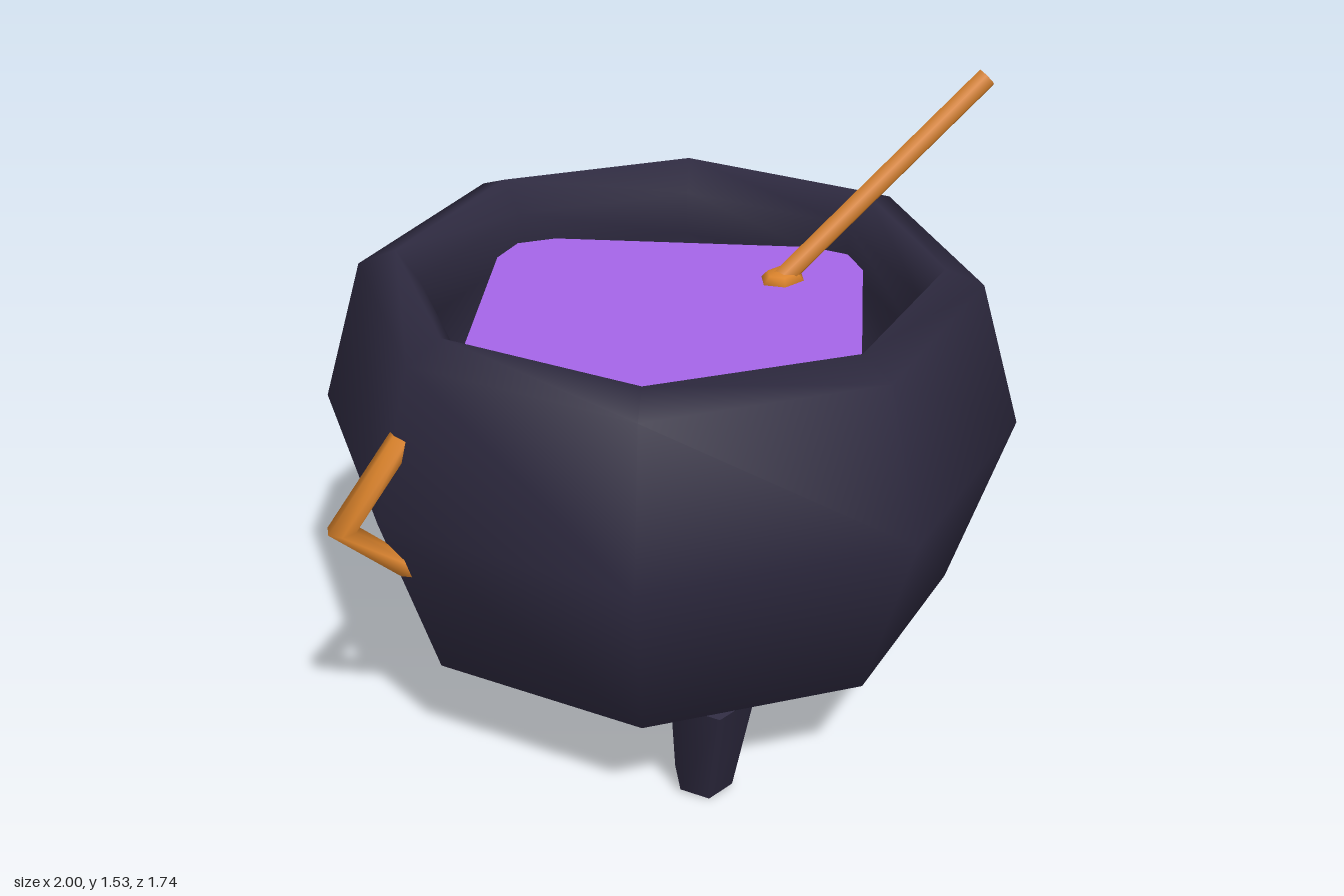
import * as THREE from 'three';

const mat = (color, extra = {}) => new THREE.MeshStandardMaterial({ color, ...extra });

export function createModel() {
  const model = new THREE.Group();
  const iron = mat(0x2e2a40);
  const ironPot = mat(0x2e2a40, { side: THREE.DoubleSide });
  const copper = mat(0xd9822b, { side: THREE.DoubleSide });
  const brew = mat(0xa565e8, { flatShading: true });

  const add = (name, geometry, material, parent = model) => {
    const mesh = new THREE.Mesh(geometry, material);
    mesh.name = name;
    parent.add(mesh);
    return mesh;
  };

  // Eight-sided pot: outer wall, rolled rim, inner wall
  const profile = [
    [0, 0.135], [0.39, 0.135], [0.72, 0.33], [0.87, 0.79], [0.765, 1.16], [0.67, 1.2],
    [0.615, 1.12], [0.62, 1.0], [0.66, 0.8], [0.56, 0.42], [0.3, 0.25], [0, 0.25],
  ].map(([r, y]) => new THREE.Vector2(r, y));
  add('pot', new THREE.LatheGeometry(profile, 8), ironPot);

  // Four-sided slab of liquid, corners running into the wall
  add('liquid', new THREE.CylinderGeometry(0.675, 0.675, 0.04, 4), brew).position.y = 1.015;

  // Three tapered legs, feet leaning inward
  for (let i = 0; i < 3; i++) {
    const pivot = new THREE.Group();
    pivot.name = 'leg' + (i + 1);
    pivot.rotation.y = Math.PI / 2 + (i * Math.PI * 2) / 3;
    const geometry = new THREE.CylinderGeometry(0.108, 0.075, 0.34, 6);
    geometry.translate(0, 0.17, 0);
    const leg = add('legPost', geometry, iron, pivot);
    leg.position.set(0, 0.021, 0.5);
    leg.rotation.x = 0.25;
    model.add(pivot);
  }

  // Angular side handles
  for (const side of [1, -1]) {
    const geometry = new THREE.TorusGeometry(0.185, 0.036, 6, 2, Math.PI);
    geometry.rotateZ(-Math.PI / 2);
    const handle = add(side > 0 ? 'leftHandle' : 'rightHandle', geometry, copper);
    handle.position.set(0.779 * side, 0.81, 0);
    if (side < 0) handle.rotation.y = Math.PI;
  }

  // Stirring spoon: stick and flattened bowl at the surface
  const foot = new THREE.Vector3(0.38, 1.035, 0);
  const tip = new THREE.Vector3(0.893, 1.513, 0.195);
  const direction = tip.clone().sub(foot);
  const stick = add('spoonStick', new THREE.CylinderGeometry(0.028, 0.028, direction.length(), 6), copper);
  stick.position.copy(foot).lerp(tip, 0.5);
  stick.quaternion.setFromUnitVectors(new THREE.Vector3(0, 1, 0), direction.normalize());

  const bowl = add('spoonBowl', new THREE.SphereGeometry(0.065, 6, 4), copper);
  bowl.scale.set(1, 0.4, 0.8);
  bowl.position.set(0.385, 1.035, 0);

  return model;
}
